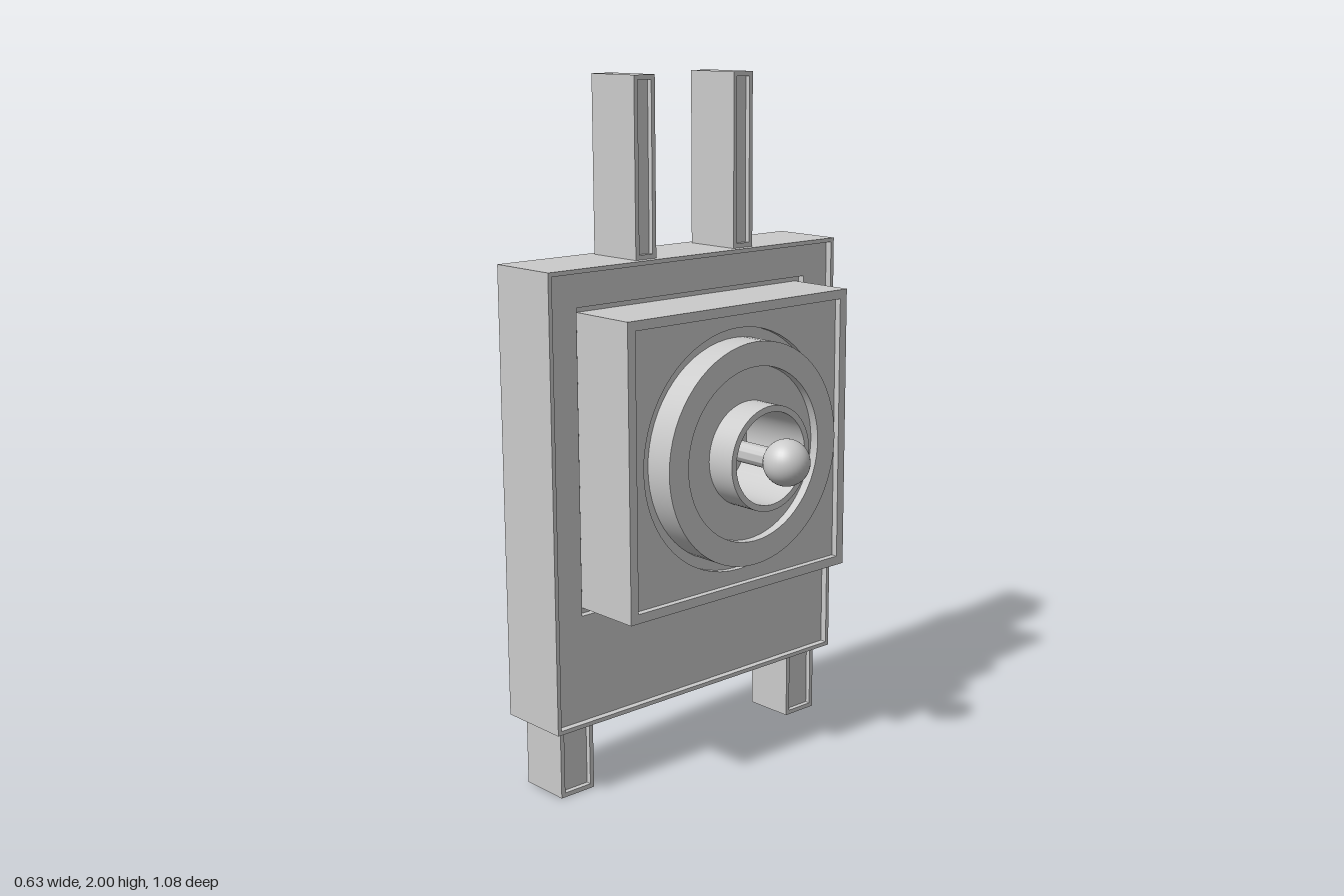
import * as THREE from 'three';
import { toCreasedNormals } from 'three/addons/utils/BufferGeometryUtils.js';

const material = new THREE.MeshStandardMaterial({ color: 0xcccccc, side: THREE.DoubleSide });

function addMesh(parent, name, geometry) {
  const mesh = new THREE.Mesh(geometry, material);
  mesh.name = name;
  parent.add(mesh);
  return mesh;
}

// Flat-shaded sheet from a list of quads, each with four [x, y, z] corners
function quadSheet(quads) {
  const positions = [];
  for (const [a, b, c, d] of quads) positions.push(...a, ...b, ...c, ...a, ...c, ...d);
  const geometry = new THREE.BufferGeometry();
  geometry.setAttribute('position', new THREE.Float32BufferAttribute(positions, 3));
  geometry.computeVertexNormals();
  return geometry;
}

// Rectangle facing +x, anticlockwise
const rect = (x, y0, y1, z0, z1) => [[x, y0, z1], [x, y0, z0], [x, y1, z0], [x, y1, z1]];

// Quads joining each rectangle to the next
function stepped(rects) {
  const quads = [];
  for (let s = 0; s < rects.length - 1; s++) {
    for (let i = 0; i < 4; i++) {
      const j = (i + 1) % 4;
      quads.push([rects[s][i], rects[s][j], rects[s + 1][j], rects[s + 1][i]]);
    }
  }
  return quads;
}

// Hollow post, open at both ends, with a recessed panel in its front
function postGeometry(x0, x1, y0, y1, z0, z1) {
  const inset = 0.013;
  const back = rect(x0, y0, y1, z0, z1);
  const front = rect(x1, y0, y1, z0, z1);
  const lip = [y0 + inset, y1 - inset, z0 + inset, z1 - inset];
  const floor = rect(x1 - 0.015, ...lip);
  return quadSheet([
    [back[1], back[0], back[3], back[2]],
    [back[1], back[2], front[2], front[1]],
    [back[3], back[0], front[0], front[3]],
    ...stepped([front, rect(x1, ...lip), floor]),
    floor,
  ]);
}

// Horizontal plate of the case with two rectangular openings
function plateGeometry(x0, x1, halfZ, hx0, hx1, hz0, hz1) {
  const box = (Path, a, b, c, d) => new Path([[a, c], [b, c], [b, d], [a, d]].map(p => new THREE.Vector2(...p)));
  const shape = box(THREE.Shape, x0, x1, -halfZ, halfZ);
  shape.holes.push(box(THREE.Path, hx0, hx1, hz0, hz1), box(THREE.Path, hx0, hx1, -hz1, -hz0));
  return new THREE.ShapeGeometry(shape);
}

export function createModel() {
  const model = new THREE.Group();
  const back = -0.317, front = -0.095, bottom = 0.208, top = 1.502, half = 0.541;
  const cy = 0.962;
  const square = (x, h) => rect(x, cy - h, cy + h, -h, h);

  // Case side walls, open at the back
  const b = rect(back, bottom, top, -half, half);
  const f = rect(front, bottom, top, -half, half);
  addMesh(model, 'caseSides', quadSheet([[b[1], b[2], f[2], f[1]], [b[3], b[0], f[0], f[3]]]));

  // Case rim, recessed panel, groove and projecting square housing
  const lip = [bottom + 0.012, top - 0.012, -half + 0.012, half - 0.012];
  addMesh(model, 'caseFront', quadSheet(stepped([
    f, rect(front, ...lip), rect(front - 0.02, ...lip),
    square(front - 0.02, 0.433), square(front - 0.04, 0.433), square(front - 0.04, 0.417),
  ])));
  addMesh(model, 'housing', quadSheet(stepped([
    square(front - 0.04, 0.417), square(0.077, 0.417), square(0.077, 0.39), square(0.058, 0.39),
  ])));

  // Recessed housing face with a round opening
  const face = new THREE.Shape([[-1, -1], [1, -1], [1, 1], [-1, 1]].map(([u, v]) => new THREE.Vector2(u * 0.39, v * 0.39)));
  const opening = new THREE.Path();
  opening.absarc(0, 0, 0.35, 0, Math.PI * 2, true);
  face.holes.push(opening);
  const panel = addMesh(model, 'housingFace', new THREE.ShapeGeometry(face, 32));
  panel.rotation.y = Math.PI / 2;
  panel.position.set(0.058, cy, 0);

  // Turned dial: groove, ring, cup and hollow stem
  const profile = [
    [0.35, 0.058], [0.35, 0.04], [0.32, 0.04], [0.32, 0.127], [0.25, 0.127], [0.25, 0.1],
    [0.15, 0.1], [0.15, 0.19], [0.132, 0.19], [0.132, -0.045], [0.03, -0.045], [0.03, 0.2],
  ].map(p => new THREE.Vector2(...p));
  const dial = addMesh(model, 'dial', toCreasedNormals(new THREE.LatheGeometry(profile, 64), Math.PI / 4));
  dial.rotation.z = -Math.PI / 2;
  dial.position.y = cy;

  // Ball knob
  const ball = addMesh(model, 'ballKnob', new THREE.SphereGeometry(0.066, 32, 24));
  ball.position.set(0.25, cy, 0);

  // Top and bottom plates, pierced by the posts
  const roof = addMesh(model, 'caseTop', plateGeometry(back, front, half, -0.296, -0.117, 0.147, 0.221));
  roof.rotation.x = -Math.PI / 2;
  roof.position.y = top;
  const base = addMesh(model, 'caseBottom', plateGeometry(back, front, half, -0.285, -0.13, 0.39, 0.507));
  base.rotation.x = Math.PI / 2;
  base.position.y = bottom;

  // Mirrored pairs of upper posts and legs
  for (const side of [1, -1]) {
    const span = (p, q) => (side > 0 ? [p, q] : [-q, -p]);
    const label = side > 0 ? 'Front' : 'Back';
    addMesh(model, 'upperPost' + label, postGeometry(-0.296, -0.117, top, 2, ...span(0.147, 0.221)));
    addMesh(model, 'leg' + label, postGeometry(-0.285, -0.13, 0, bottom, ...span(0.39, 0.507)));
  }
  return model;
}
